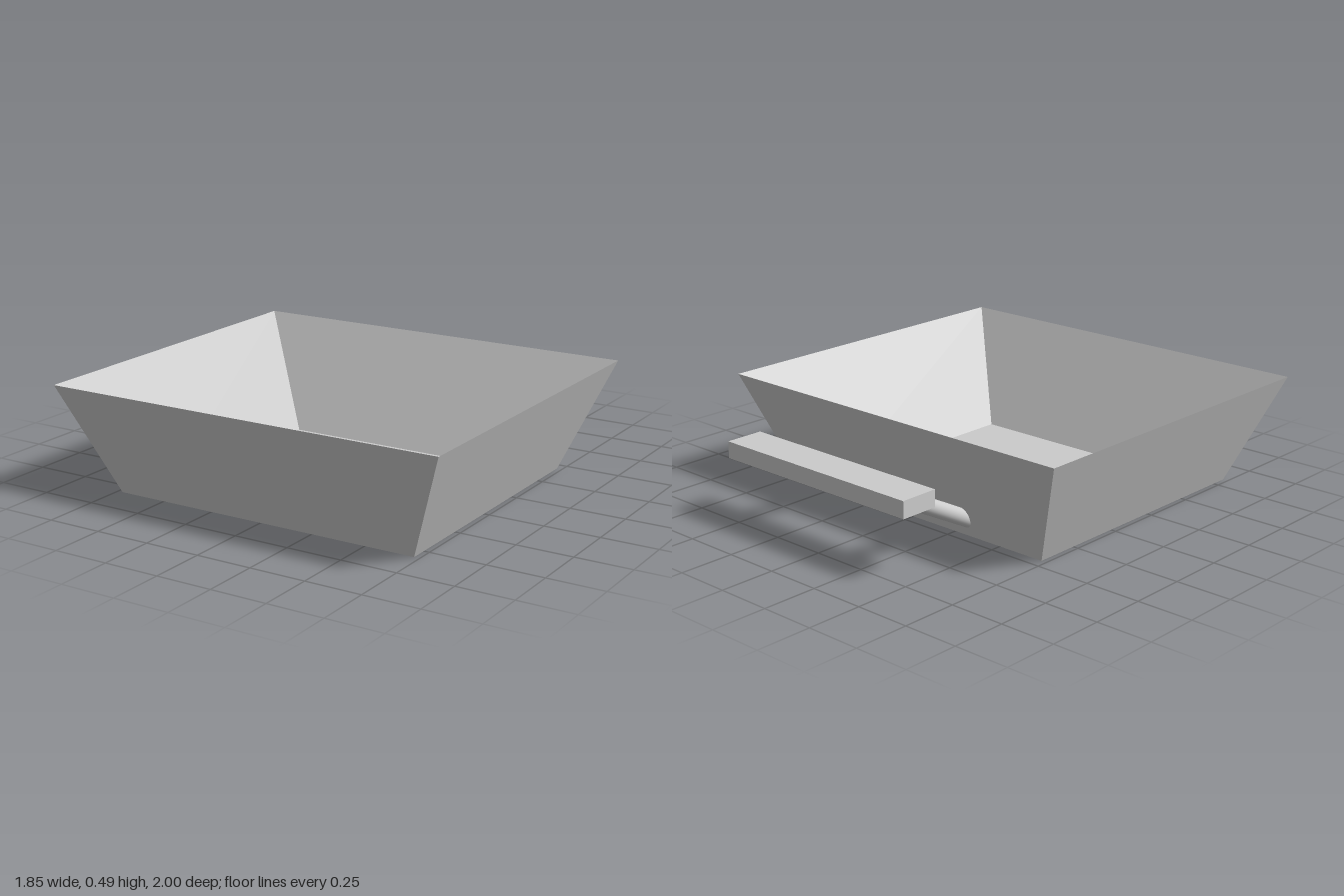
import * as THREE from 'three';

const material = new THREE.MeshStandardMaterial({ color: 0xcccccc });
const flat = new THREE.MeshStandardMaterial({ color: 0xcccccc, flatShading: true });

// Four corners of a horizontal rectangle, anticlockwise seen from above
function ring(halfWidth, back, front, y) {
  return [
    [-halfWidth, y, front], [halfWidth, y, front],
    [halfWidth, y, back], [-halfWidth, y, back],
  ];
}

// Open tray: tapered outside, knife-edge rim, steeper-set inside and floor
function trayGeometry() {
  const rings = [
    ring(0.725, -0.45, 0.825, 0),
    ring(0.925, -0.62, 1.0, 0.49),
    ring(0.58, -0.32, 0.695, 0.005),
  ];
  const points = [];
  const quad = (a, b, c, d) => points.push(...a, ...b, ...c, ...a, ...c, ...d);
  for (let r = 0; r < 2; r++) {
    const lower = rings[r], upper = rings[r + 1];
    for (let i = 0; i < 4; i++) {
      const j = (i + 1) % 4;
      quad(lower[i], lower[j], upper[j], upper[i]);
    }
  }
  quad(...rings[2]);
  quad(...[...rings[0]].reverse());
  const geometry = new THREE.BufferGeometry();
  geometry.setAttribute('position', new THREE.Float32BufferAttribute(points, 3));
  geometry.computeVertexNormals();
  return geometry;
}

// Round rod between two points
function rod(from, to, radius) {
  const axis = to.clone().sub(from);
  const mesh = new THREE.Mesh(new THREE.CylinderGeometry(radius, radius, axis.length(), 32), material);
  mesh.position.copy(from).add(to).multiplyScalar(0.5);
  mesh.quaternion.setFromUnitVectors(new THREE.Vector3(0, 1, 0), axis.normalize());
  return mesh;
}

export function createModel() {
  const model = new THREE.Group();
  model.name = 'trayWithHandle';

  const tray = new THREE.Mesh(trayGeometry(), flat);
  tray.name = 'tray';
  model.add(tray);

  // Handle behind the tray: two sloping rods carrying a flat bar
  const handle = new THREE.Group();
  handle.name = 'handle';
  for (const [name, x] of [['rightRod', -0.325], ['leftRod', 0.34]]) {
    const arm = rod(new THREE.Vector3(x, 0.058, -0.42), new THREE.Vector3(x, 0.29, -0.86), 0.036);
    arm.name = name;
    handle.add(arm);
  }
  const bar = new THREE.Mesh(new THREE.BoxGeometry(1.04, 0.075, 0.175), flat);
  bar.name = 'handleBar';
  bar.position.set(0.025, 0.317, -0.912);
  handle.add(bar);
  model.add(handle);

  return model;
}
